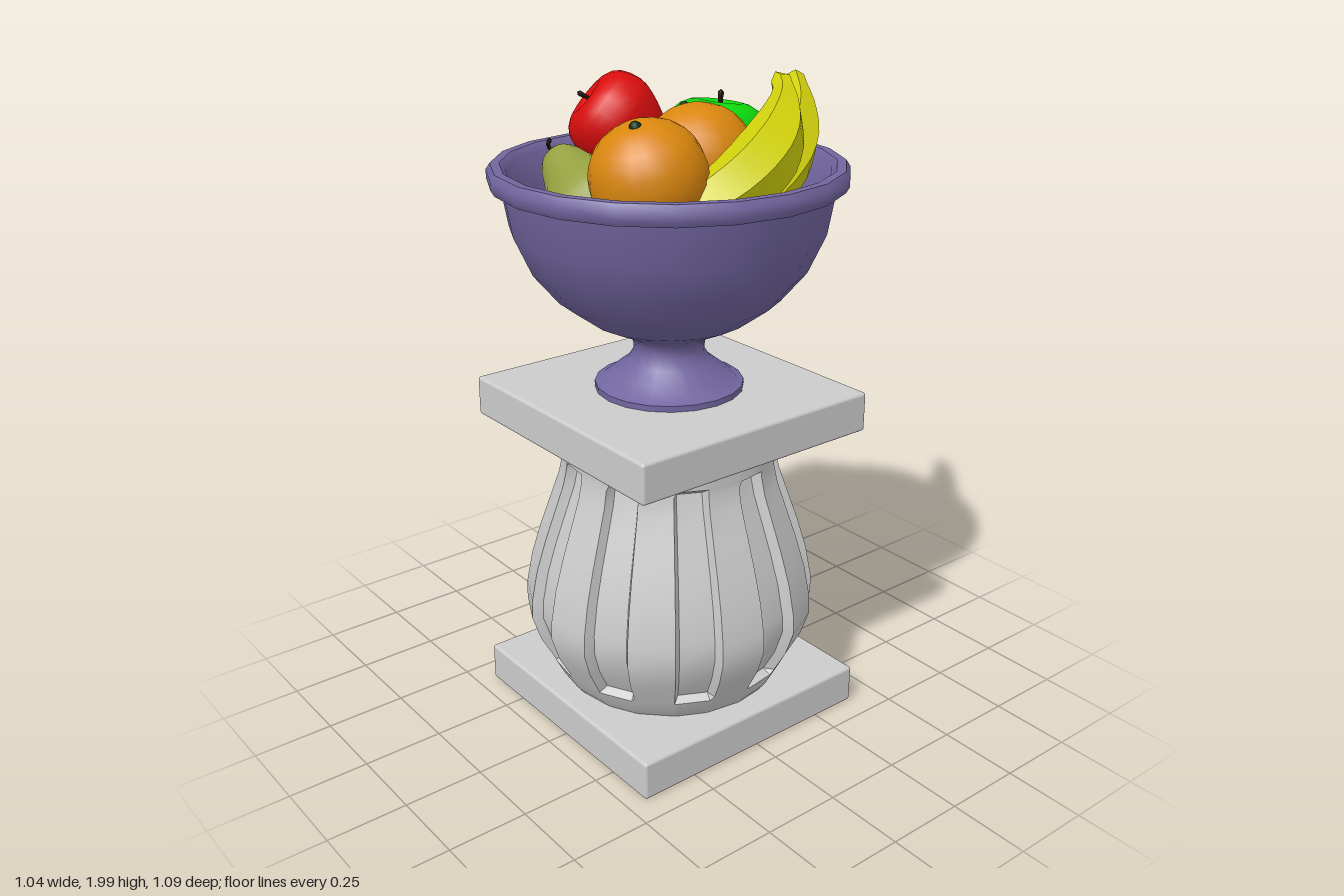
import * as THREE from 'three';
import { toCreasedNormals } from 'three/addons/utils/BufferGeometryUtils.js';
import { RoundedBoxGeometry } from 'three/addons/geometries/RoundedBoxGeometry.js';

const V = (a) => new THREE.Vector3(...a);
const paint = (color) => new THREE.MeshStandardMaterial({ color });
const stone = paint(0xcccccc), bowlBlue = paint(0x7266a0), red = paint(0xd90d0d), green = paint(0x0dd90d);
const orange = paint(0xd9860d), pearGreen = paint(0x94a040), yellow = paint(0xd0d00c);
const brown = paint(0x2b1a10), darkGreen = paint(0x0d2a12);

function add(parent, name, geometry, material) {
  const mesh = new THREE.Mesh(geometry, material);
  mesh.name = name;
  parent.add(mesh);
  return mesh;
}

function lathe(points, segments, smoothProfile = false) {
  let profile = points.map(([r, y]) => new THREE.Vector2(r, y));
  if (smoothProfile) profile = new THREE.SplineCurve(profile).getPoints(18);
  profile.forEach((p) => { p.x = Math.max(p.x, 0); });
  return new THREE.LatheGeometry(profile, segments);
}

// Tube whose radius follows a list of values along its length
function taperedTube(points, radii, steps, sides) {
  const curve = new THREE.CatmullRomCurve3(points.map(V));
  const geometry = new THREE.TubeGeometry(curve, steps, 1, sides);
  const pos = geometry.attributes.position, v = new THREE.Vector3();
  for (let i = 0; i <= steps; i++) {
    const centre = curve.getPointAt(i / steps);
    const f = (i / steps) * (radii.length - 1), k = Math.min(Math.floor(f), radii.length - 2);
    const r = i === 0 || i === steps ? 0.001 : THREE.MathUtils.lerp(radii[k], radii[k + 1], f - k);
    for (let j = 0; j <= sides; j++) {
      const n = i * (sides + 1) + j;
      v.fromBufferAttribute(pos, n).sub(centre).multiplyScalar(r).add(centre);
      pos.setXYZ(n, v.x, v.y, v.z);
    }
  }
  return toCreasedNormals(geometry, 0.75);
}

// Bulging drum with ten sunken panels
function flutedBody() {
  const step = Math.PI / 10, inset = 0.03, depth = 0.032;
  const rows = [[0.34, 0.12], [0.36, 0.145], [0.385, 0.195], [0.392, 0.21, 1], [0.43, 0.28, 1], [0.456, 0.36, 1],
    [0.454, 0.42, 1], [0.435, 0.52, 1], [0.405, 0.62, 1], [0.37, 0.72, 1], [0.342, 0.8, 1],
    [0.33, 0.855, 1], [0.329, 0.875], [0.33, 0.92], [0.33, 0.965]];
  const columns = [];
  for (let i = 0; i < 10; i++) {
    const a = (2 * i - 1) * step;
    columns.push([a, 0], [a + inset, 1], [a + step - inset, 1], [a + step, 0]);
  }
  columns.push([19 * step, 0]);
  const positions = [], index = [], n = rows.length;
  for (const [angle, sunkColumn] of columns) {
    for (const [radius, y, sunkRow] of rows) {
      const r = radius - (sunkColumn && sunkRow ? depth : 0);
      positions.push(r * Math.sin(angle), y, r * Math.cos(angle));
    }
  }
  for (let i = 0; i < columns.length - 1; i++) {
    for (let j = 0; j < n - 1; j++) {
      const a = i * n + j, b = a + n;
      index.push(a, b, b + 1, a, b + 1, a + 1);
    }
  }
  const geometry = new THREE.BufferGeometry();
  geometry.setAttribute('position', new THREE.Float32BufferAttribute(positions, 3));
  geometry.setIndex(index);
  return toCreasedNormals(geometry, 0.6);
}

// Group at a position with its +y turned along an axis
function fruit(parent, name, position, axis, size) {
  const group = new THREE.Group();
  group.name = name;
  group.position.copy(V(position));
  group.quaternion.setFromUnitVectors(new THREE.Vector3(0, 1, 0), V(axis).normalize());
  group.scale.setScalar(size);
  parent.add(group);
  return group;
}

function stem(parent, points, radius) {
  add(parent, 'stem', taperedTube(points, [radius, radius * 0.8, radius, radius * 1.4], 8, 6), brown);
}

function apple(parent, name, position, axis, size, material) {
  const group = fruit(parent, name, position, axis, size);
  const profile = [[0, -0.74], [0.3, -0.86], [0.68, -0.62], [0.93, -0.12], [1, 0.25],
    [0.85, 0.7], [0.5, 0.9], [0.22, 0.83], [0, 0.62]];
  add(group, 'appleFlesh', lathe(profile, 18, true), material);
  stem(group, [[0, 0.58, 0], [0.02, 0.8, 0], [0.05, 0.98, 0.05], [0.1, 1.13, 0.1]], 0.05);
}

function citrus(parent, name, position, axis, size) {
  const group = fruit(parent, name, position, axis, size);
  const profile = [[0, -0.96], [0.4, -0.9], [0.78, -0.62], [0.98, -0.2], [0.98, 0.22],
    [0.78, 0.64], [0.4, 0.9], [0.14, 0.96], [0, 0.93]];
  add(group, 'orangePeel', lathe(profile, 18, true), orange);
  add(group, 'stemButton', new THREE.SphereGeometry(0.11, 10, 6), darkGreen).position.y = 0.93;
}

export function createModel() {
  const model = new THREE.Group();
  model.name = 'fruitBowlOnPedestal';
  const stand = new THREE.Group();
  stand.name = 'stand';
  stand.position.z = 0.02;
  model.add(stand);

  // Pedestal
  const slab = new RoundedBoxGeometry(0.84, 0.124, 0.84, 2, 0.01);
  add(stand, 'lowerPlinth', slab, stone).position.y = 0.062;
  add(stand, 'upperPlinth', slab, stone).position.y = 1.02;
  add(stand, 'flutedBody', flutedBody(), stone);

  // Footed bowl: foot, outer wall, rolled rim, inner wall
  const bowlProfile = [[0, 1.08], [0.225, 1.08], [0.225, 1.1], [0.205, 1.105], [0.17, 1.135], [0.125, 1.17],
    [0.106, 1.2], [0.108, 1.23], [0.125, 1.25], [0.175, 1.275], [0.24, 1.305], [0.335, 1.375], [0.41, 1.465],
    [0.462, 1.58], [0.483, 1.7], [0.51, 1.703], [0.52, 1.72], [0.52, 1.745], [0.508, 1.763], [0.482, 1.763],
    [0.465, 1.745], [0.45, 1.65], [0.425, 1.56], [0.375, 1.465], [0.3, 1.39], [0.2, 1.325], [0, 1.29]];
  add(stand, 'bowl', toCreasedNormals(lathe(bowlProfile, 20), 0.8), bowlBlue);

  // Fruit
  const fruits = new THREE.Group();
  fruits.name = 'fruits';
  model.add(fruits);
  apple(fruits, 'upperRedApple', [-0.333, 1.81, -0.055], [-0.4, 0.6, 0.6], 0.145, red);
  apple(fruits, 'lowerRedApple', [-0.2, 1.62, 0.015], [0, 1, 0.12], 0.135, red);
  apple(fruits, 'greenApple', [-0.13, 1.74, -0.258], [0, 1, -0.15], 0.16, green);
  citrus(fruits, 'frontOrange', [0.175, 1.775, 0.226], [0.08, 1, 0.36], 0.163);
  citrus(fruits, 'middleOrange', [0.058, 1.765, -0.04], [-0.5, 1, -0.05], 0.168);

  // Pear lying with its neck raised to one side
  const pear = fruit(fruits, 'pear', [-0.055, 1.63, 0.225], [-0.2, 0.14, 0.012], 0.155);
  const pearProfile = [[0, -0.88], [0.35, -0.9], [0.8, -0.58], [0.99, 0], [0.86, 0.5], [0.58, 0.95],
    [0.42, 1.35], [0.24, 1.58], [0, 1.6]];
  add(pear, 'pearFlesh', lathe(pearProfile, 18, true), pearGreen);
  stem(pear, [[0, 1.52, 0], [0, 1.68, 0.03], [0.1, 1.76, 0.08], [0.26, 1.74, 0.08]], 0.04);

  // Bananas
  const radii = [0.032, 0.034, 0.055, 0.08, 0.094, 0.096, 0.092, 0.08, 0.06, 0.03];
  add(fruits, 'rightBanana', taperedTube([[0.05, 1.985, -0.335], [0.1, 1.95, -0.32], [0.19, 1.9, -0.24],
    [0.27, 1.82, -0.12], [0.3, 1.74, 0.03], [0.26, 1.67, 0.18], [0.19, 1.62, 0.28]], radii, 20, 6), yellow);
  add(fruits, 'backBanana', taperedTube([[-0.1, 1.945, -0.535], [-0.05, 1.925, -0.51], [0.04, 1.865, -0.44],
    [0.12, 1.77, -0.33], [0.15, 1.67, -0.17], [0.14, 1.6, -0.02], [0.08, 1.56, 0.1]], radii, 20, 6), yellow);
  return model;
}
